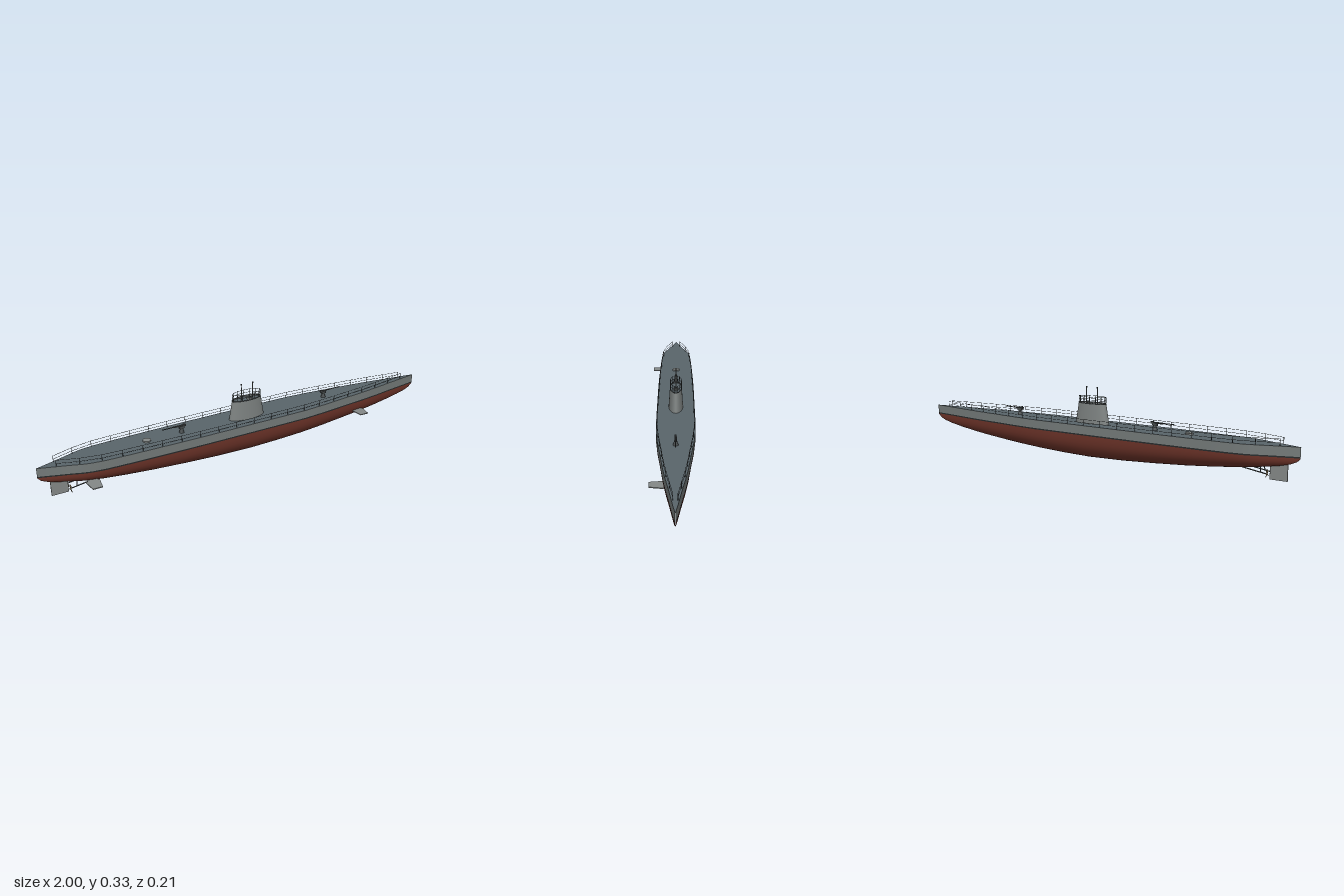
import * as THREE from 'three';

const CZ = -0.018, DECK = 0.162, WATER = 0.122, SEAM = 0.116;
const mat = (name, color, side = THREE.FrontSide) => {
  const m = new THREE.MeshStandardMaterial({ color, side });
  m.name = name;
  return m;
};

// stations along the hull: x, half width, depth fraction
const STATIONS = [
  [-1, 0.001, 0.02], [-0.985, 0.005, 0.15], [-0.96, 0.013, 0.25], [-0.92, 0.026, 0.34], [-0.87, 0.042, 0.42],
  [-0.82, 0.060, 0.49], [-0.78, 0.070, 0.535], [-0.72, 0.077, 0.60], [-0.62, 0.081, 0.695], [-0.5, 0.084, 0.79],
  [-0.35, 0.087, 0.88], [-0.18, 0.088, 0.96], [0, 0.088, 1], [0.15, 0.088, 0.97], [0.28, 0.087, 0.92],
  [0.4, 0.078, 0.855], [0.52, 0.065, 0.775], [0.64, 0.053, 0.68], [0.74, 0.040, 0.585], [0.83, 0.026, 0.48],
  [0.9, 0.016, 0.38], [0.95, 0.009, 0.28], [0.98, 0.004, 0.18], [1, 0.001, 0.02],
];
// half section below the waterline: width fraction, depth fraction
const SECTION = [[1, 0], [0.985, 0.15], [0.945, 0.33], [0.88, 0.49], [0.79, 0.63], [0.68, 0.76], [0.56, 0.86], [0.43, 0.93], [0.28, 0.975], [0.13, 0.995], [0, 1]];

function halfWidth(x) {
  let i = 1;
  while (i < STATIONS.length - 1 && STATIONS[i][0] < x) i++;
  const [a, b] = [STATIONS[i - 1], STATIONS[i]];
  return a[1] + (b[1] - a[1]) * (x - a[0]) / (b[0] - a[0]);
}

// skin through one list of [y, z] points per station
function loft(section) {
  const pos = [], index = [];
  let n = 0;
  for (const [x, w, d] of STATIONS) {
    const ring = section(w, d);
    n = ring.length;
    for (const [y, z] of ring) pos.push(x, y, CZ + z);
  }
  for (let i = 0; i < STATIONS.length - 1; i++)
    for (let j = 0; j < n - 1; j++) {
      const a = i * n + j, b = a + n;
      index.push(a, a + 1, b, b, a + 1, b + 1);
    }
  const g = new THREE.BufferGeometry();
  g.setAttribute('position', new THREE.Float32BufferAttribute(pos, 3));
  g.setIndex(index);
  g.computeVertexNormals();
  return g;
}

export function createModel() {
  const root = new THREE.Group();
  root.name = 'submarine';
  const red = mat('hullRed', 0x70352a);
  const grey = mat('sideGrey', 0x747a79);
  const deckGrey = mat('deckSlate', 0x59656b);
  const black = mat('waterlineBlack', 0x25292a);
  const towerGrey = mat('towerGrey', 0x7c8180, THREE.DoubleSide);
  const steel = mat('darkSteel', 0x454a4b);
  const finGrey = mat('finGrey', 0x858988);
  const bronze = mat('propellerBronze', 0x6b5a3c, THREE.DoubleSide);

  const add = (name, geo, material, x = 0, y = 0, z = 0, parent = root) => {
    const m = new THREE.Mesh(geo, material);
    m.name = name;
    m.position.set(x, y, z);
    parent.add(m);
    return m;
  };
  // straight round bar between two points
  const bar = (name, a, b, r, material, parent = root) => {
    const p = new THREE.Vector3(...a), q = new THREE.Vector3(...b), d = q.clone().sub(p);
    const m = add(name, new THREE.CylinderGeometry(r, r, d.length(), 6), material, 0, 0, 0, parent);
    m.position.copy(p).add(q).multiplyScalar(0.5);
    m.quaternion.setFromUnitVectors(new THREE.Vector3(0, 1, 0), d.normalize());
    return m;
  };

  // lower hull, topsides, waterline and deck
  add('lowerHull', loft((w, d) => {
    const half = SECTION.map(([fw, fd]) => [SEAM - fd * d * 0.114, fw * w]);
    return [...half, ...half.slice(0, -1).reverse().map(([y, z]) => [y, -z])];
  }), red);
  for (const [name, top, bottom, m] of [['topside', DECK, WATER, grey], ['waterline', WATER, SEAM, black]]) {
    add(name + 'Left', loft(w => [[top, w], [bottom, w]]), m);
    add(name + 'Right', loft(w => [[bottom, -w], [top, -w]]), m);
  }
  add('deck', loft(w => [[DECK, -w], [DECK, w]]), deckGrey);

  // deck railings
  for (const s of [-1, 1]) {
    const rail = new THREE.Group();
    rail.name = s > 0 ? 'railingLeft' : 'railingRight';
    root.add(rail);
    const at = (x, y) => [x, y, CZ + s * (halfWidth(x) - 0.005)];
    const N = 20;
    for (let i = 0; i <= N; i++) {
      const x = -0.92 + 1.83 * i / N, next = x + 1.83 / N;
      bar('railPost', at(x, DECK), at(x, 0.191), 0.0012, steel, rail);
      if (i < N) for (const y of [0.19, 0.175]) bar('railWire', at(x, y), at(next, y), 0.0009, steel, rail);
    }
  }

  // conning tower with oval plan
  const tower = new THREE.Group();
  tower.name = 'conningTower';
  tower.position.z = CZ;
  root.add(tower);
  const oval = new THREE.Group();
  oval.name = 'towerShell';
  oval.scale.z = 0.37;
  tower.add(oval);
  const H = 0.255 - DECK;
  add('towerWall', new THREE.CylinderGeometry(0.075, 0.091, H, 40, 1, true), towerGrey, 0, DECK + H / 2, 0, oval);
  add('towerFloor', new THREE.CylinderGeometry(0.076, 0.076, 0.004, 40), deckGrey, 0, 0.246, 0, oval);
  add('towerRim', new THREE.TorusGeometry(0.0735, 0.003, 6, 40).rotateX(Math.PI / 2), steel, 0, 0.255, 0, oval);
  add('towerHatch', new THREE.CylinderGeometry(0.012, 0.012, 0.01, 20), towerGrey, 0.015, 0.252, 0, tower);
  add('towerHatchLid', new THREE.CylinderGeometry(0.008, 0.008, 0.002, 20), steel, 0.015, 0.258, 0, tower);
  const POSTS = 14;
  const onOval = (i, y) => {
    const a = (i + 0.5) / POSTS * Math.PI * 2;
    return [0.073 * Math.cos(a), y, 0.027 * Math.sin(a)];
  };
  for (let i = 0; i < POSTS; i++) {
    bar('towerRailPost', onOval(i, 0.25), onOval(i, 0.287), 0.0012, steel, tower);
    for (const y of [0.286, 0.271]) bar('towerRailWire', onOval(i, y), onOval(i + 1, y), 0.0009, steel, tower);
  }
  for (const x of [-0.027, 0.033]) {
    bar('periscope', [x, 0.246, 0], [x, 0.331, 0], 0.0022, towerGrey, tower);
    add('periscopeHead', new THREE.BoxGeometry(0.006, 0.006, 0.004), steel, x, 0.329, 0, tower);
  }

  // deck guns, pointing fore and aft
  for (const [x, dir] of [[0.435, 1], [-0.335, -1]]) {
    const gun = new THREE.Group();
    gun.name = dir > 0 ? 'foreGun' : 'aftGun';
    gun.position.set(x, DECK, CZ);
    gun.rotation.y = dir > 0 ? 0 : Math.PI;
    root.add(gun);
    add('gunBase', new THREE.CylinderGeometry(0.006, 0.012, 0.02, 12), steel, 0, 0.01, 0, gun);
    add('gunCradle', new THREE.BoxGeometry(0.024, 0.012, 0.011), steel, 0, 0.026, 0, gun);
    add('gunBreech', new THREE.BoxGeometry(0.012, 0.009, 0.009), steel, -0.014, 0.034, 0, gun);
    bar('gunBarrel', [-0.012, 0.034, 0], [0.04, 0.034, 0], 0.0035, steel, gun);
    bar('gunMuzzle', [0.04, 0.034, 0], [0.095, 0.034, 0], 0.0022, steel, gun);
  }

  // aft deck hatch
  add('deckHatch', new THREE.CylinderGeometry(0.018, 0.018, 0.006, 24), finGrey, -0.505, DECK + 0.003, CZ);

  // diving planes on the left side
  const plane = (name, x, zRoot, zTip) => {
    const s = new THREE.Shape([[-0.022, zRoot], [0.022, zRoot], [0.022, zRoot + 0.01], [0.031, zRoot + 0.012],
      [0.022, zTip], [-0.022, zTip], [-0.031, zRoot + 0.012], [-0.022, zRoot + 0.01]].map(p => new THREE.Vector2(...p)));
    const g = new THREE.ExtrudeGeometry(s, { depth: 0.004, bevelEnabled: false }).rotateX(Math.PI / 2);
    add(name, g, finGrey, x, 0.071, 0);
  };
  plane('foreDivingPlane', 0.615, 0.018, 0.09);
  plane('aftDivingPlane', -0.783, 0.028, 0.107);

  // rudder
  add('rudder', new THREE.BoxGeometry(0.075, 0.072, 0.005), finGrey, -0.9125, 0.05, CZ);
  bar('rudderStock', [-0.91, 0.08, CZ], [-0.91, 0.115, CZ], 0.004, finGrey);

  // twin shafts, struts and three-bladed propellers
  for (const s of [-1, 1]) {
    const z = CZ + s * 0.024;
    bar('propellerShaft', [-0.872, 0.04, z], [-0.74, 0.06, z], 0.0025, steel);
    bar('shaftStrut', [-0.845, 0.044, z], [-0.835, 0.085, CZ + s * 0.012], 0.002, steel);
    const prop = new THREE.Group();
    prop.name = s > 0 ? 'propellerLeft' : 'propellerRight';
    prop.position.set(-0.872, 0.04, z);
    root.add(prop);
    add('propellerHub', new THREE.SphereGeometry(0.0045, 10, 8), bronze, 0, 0, 0, prop);
    for (let k = 0; k < 3; k++) {
      const arm = new THREE.Group();
      arm.name = 'bladeArm';
      arm.rotation.x = k * Math.PI * 2 / 3;
      prop.add(arm);
      const blade = add('propellerBlade', new THREE.SphereGeometry(1, 10, 8), bronze, 0, 0.011, 0, arm);
      blade.scale.set(0.0012, 0.009, 0.005);
      blade.rotation.y = s * 0.6;
    }
  }
  return root;
}
